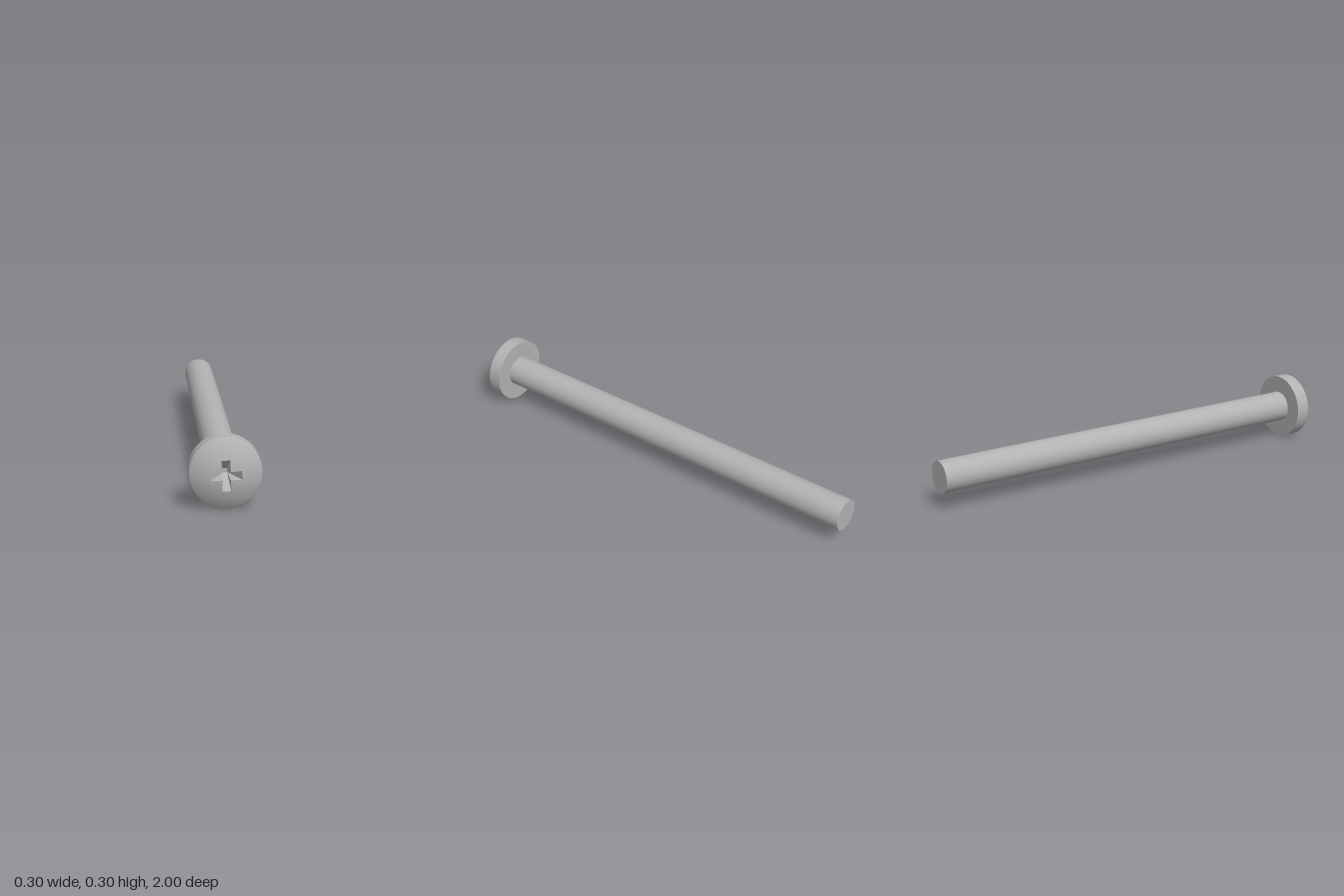
import * as THREE from 'three';

const HEAD_R = 0.15, DOME_R = 0.142, SPHERE_R = 0.256, BACK_Z = 0.885;
const ARM = 0.0635, HALF = 0.0178;          // cross recess arm length and half width
const PIT = 0.009, PIT_Z = 0.905;           // recess bottom half width and depth position
const domeZ = (x, y) => 1 - SPHERE_R + Math.sqrt(SPHERE_R ** 2 - x * x - y * y);
const turn = ([x, y, z], q) => {
  const c = Math.round(Math.cos(q * Math.PI / 2)), s = Math.round(Math.sin(q * Math.PI / 2));
  return [x * c - y * s, x * s + y * c, z];
};

// Domed front: loft from the cross-shaped opening out to a circle
function domeGeometry() {
  const corners = [];
  for (let q = 0; q < 4; q++)
    for (const p of [[ARM, -HALF, 0], [ARM, HALF, 0], [HALF, HALF, 0]]) corners.push(turn(p, q));
  const outline = [], SUB = 8, RINGS = 10;
  corners.forEach((a, i) => {
    const b = corners[(i + 1) % corners.length];
    for (let k = 0; k < SUB; k++)
      outline.push([a[0] + (b[0] - a[0]) * k / SUB, a[1] + (b[1] - a[1]) * k / SUB]);
  });
  const n = outline.length, pos = [], nor = [], idx = [];
  for (let j = 0; j <= RINGS; j++)
    outline.forEach(([x, y], i) => {
      const r = Math.hypot(x, y), k = 1 + (DOME_R / r - 1) * j / RINGS;
      const px = x * k, py = y * k, pz = domeZ(px, py);
      pos.push(px, py, pz);
      nor.push(px / SPHERE_R, py / SPHERE_R, (pz - 1 + SPHERE_R) / SPHERE_R);
      if (j < RINGS) {
        const a = j * n + i, b = j * n + (i + 1) % n;
        idx.push(a, a + n, b + n, a, b + n, b);
      }
    });
  const g = new THREE.BufferGeometry();
  g.setAttribute('position', new THREE.Float32BufferAttribute(pos, 3));
  g.setAttribute('normal', new THREE.Float32BufferAttribute(nor, 3));
  g.setIndex(idx);
  return g;
}

// Cross recess: four sloped floors with side walls, meeting at a small flat bottom
function recessGeometry() {
  const pos = [];
  const tri = (q, ...pts) => pts.forEach(p => pos.push(...turn(p, q)));
  const zo = domeZ(ARM, HALF), zi = domeZ(HALF, HALF);
  const oL = [ARM, HALF, zo], oR = [ARM, -HALF, zo];
  const iL = [HALF, HALF, zi], iR = [HALF, -HALF, zi];
  const bL = [PIT, PIT, PIT_Z], bR = [PIT, -PIT, PIT_Z];
  for (let q = 0; q < 4; q++) {
    tri(q, oR, oL, bL);
    tri(q, oR, bL, bR);
    tri(q, oL, iL, bL);
    tri(q, oR, bR, iR);
    tri(q, [0, 0, PIT_Z], bR, bL);
  }
  const g = new THREE.BufferGeometry();
  g.setAttribute('position', new THREE.Float32BufferAttribute(pos, 3));
  g.computeVertexNormals();
  return g;
}

export function createModel() {
  const steel = new THREE.MeshStandardMaterial({ color: 0xb2b2b2 });
  steel.name = 'steel grey';
  const model = new THREE.Group();
  model.name = 'machineScrew';
  const add = (name, geometry, parent) => {
    const mesh = new THREE.Mesh(geometry, steel);
    mesh.name = name;
    parent.add(mesh);
    return mesh;
  };

  const screw = new THREE.Group();
  screw.name = 'screw';
  screw.position.y = HEAD_R;
  model.add(screw);

  // Shaft
  const length = BACK_Z + 1;
  add('shaft', new THREE.CylinderGeometry(0.072, 0.072, length, 64).rotateX(Math.PI / 2), screw)
    .position.z = BACK_Z - length / 2;

  // Head: straight rim, rounded edge, flat underside
  const edgeZ = domeZ(DOME_R, 0);
  const rim = [[HEAD_R, BACK_Z], [HEAD_R, 0.944]].map(p => new THREE.Vector2(...p));
  const edge = new THREE.QuadraticBezierCurve(
    rim[1], new THREE.Vector2(HEAD_R, edgeZ - 0.004), new THREE.Vector2(DOME_R, edgeZ));
  add('headRim', new THREE.LatheGeometry(rim, 96).rotateX(Math.PI / 2), screw);
  add('headRoundedEdge', new THREE.LatheGeometry(edge.getPoints(6), 96).rotateX(Math.PI / 2), screw);
  add('headUnderside', new THREE.RingGeometry(0.07, HEAD_R, 96).rotateY(Math.PI), screw)
    .position.z = BACK_Z;

  // Dome and drive recess, turned slightly
  const face = new THREE.Group();
  face.name = 'headFace';
  face.rotation.z = 0.035;
  screw.add(face);
  add('headDome', domeGeometry(), face);
  add('crossRecess', recessGeometry(), face);
  return model;
}
